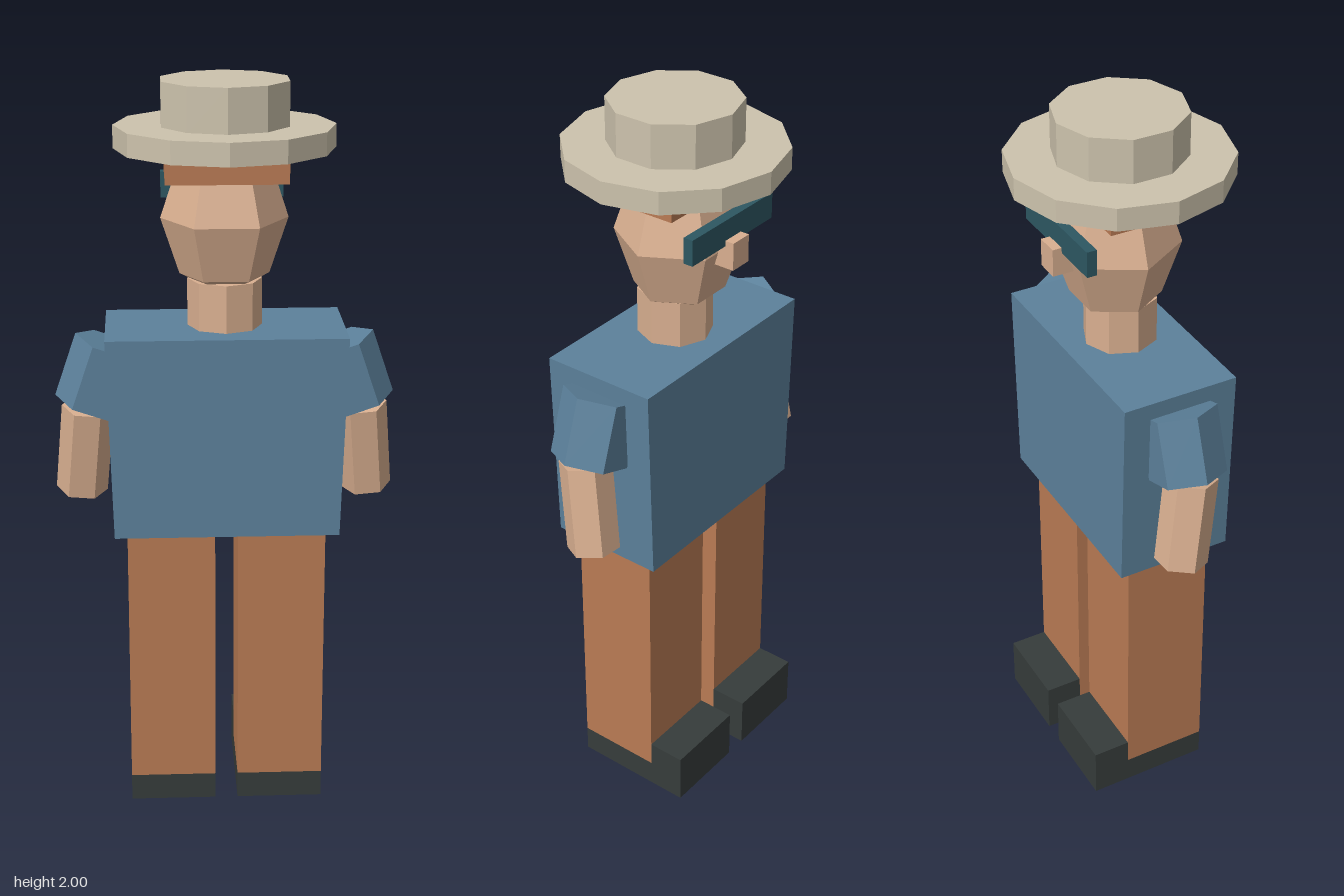
import * as THREE from 'three';

const mat = (name, color) => {
  const m = new THREE.MeshStandardMaterial({ color });
  m.name = name;
  return m;
};

export function createModel() {
  const straw = mat('straw', 0xcdc3ad);
  const skin = mat('skin', 0xd9af90);
  const shirt = mat('shirt blue', 0x5c819b);
  const rust = mat('rust', 0xb97b54);
  const shoeBlack = mat('shoe black', 0x363c3b);
  const teal = mat('dark teal', 0x2d5762);

  const model = new THREE.Group();
  model.name = 'figure';

  // Faceted mesh: every face keeps its own normal
  const add = (name, geometry, material, x = 0, y = 0, z = 0) => {
    const geo = geometry.index ? geometry.toNonIndexed() : geometry;
    geo.computeVertexNormals();
    const mesh = new THREE.Mesh(geo, material);
    mesh.name = name;
    mesh.position.set(x, y, z);
    model.add(mesh);
    return mesh;
  };

  // Box given by its limits
  const box = (name, material, [x0, x1], [y0, y1], [z0, z1]) =>
    add(name, new THREE.BoxGeometry(x1 - x0, y1 - y0, z1 - z0), material,
      (x0 + x1) / 2, (y0 + y1) / 2, (z0 + z1) / 2);

  // Hexagonal limb between two points, one corner pointing outwards
  const limb = (name, material, top, bottom, r) => {
    const a = new THREE.Vector3(...top);
    const b = new THREE.Vector3(...bottom);
    const axis = a.clone().sub(b);
    const geo = new THREE.CylinderGeometry(r, r, axis.length(), 6, 1, false, Math.PI / 2);
    const mid = a.clone().add(b).multiplyScalar(0.5);
    const mesh = add(name, geo, material, mid.x, mid.y, mid.z);
    mesh.quaternion.setFromUnitVectors(new THREE.Vector3(0, 1, 0), axis.normalize());
  };

  // Hat
  add('hatCrown', new THREE.CylinderGeometry(0.172, 0.172, 0.12, 10), straw, 0, 1.94, 0);
  add('hatBrim', new THREE.CylinderGeometry(0.288, 0.288, 0.06, 12), straw, 0, 1.855, 0);

  // Head, hair and face
  const headGeo = new THREE.SphereGeometry(0.168, 6, 4);
  headGeo.scale(1, 1.25, 1);
  add('head', headGeo, skin, 0, 1.64, -0.013);
  box('hair', rust, [-0.157, 0.157], [1.757, 1.83], [-0.11, 0.157]);
  box('glasses', teal, [-0.165, 0.165], [1.665, 1.735], [-0.18, -0.153]);
  box('nose', skin, [-0.032, 0.032], [1.605, 1.68], [-0.205, -0.13]);
  add('neck', new THREE.CylinderGeometry(0.099, 0.099, 0.16, 8), skin, 0, 1.402, 0);

  // Torso, slightly narrower at the hips
  const torsoGeo = new THREE.BoxGeometry(0.634, 0.545, 0.32);
  const p = torsoGeo.attributes.position;
  for (let i = 0; i < p.count; i++) if (p.getY(i) < 0) p.setX(i, p.getX(i) * 0.948);
  add('torso', torsoGeo, shirt, 0, 1.0825, 0);

  // Shoe side profile: low under the leg, raised at the toe
  const profile = new THREE.Shape([
    [-0.12, 0], [0.225, 0], [0.225, 0.147], [0.12, 0.147], [0.12, 0.075], [-0.12, 0.075],
  ].map(([x, y]) => new THREE.Vector2(x, y)));

  for (const [side, s] of [['left', 1], ['right', -1]]) {
    // Arms
    limb(side + 'Sleeve', shirt, [s * 0.302, 1.303, 0], [s * 0.36, 1.133, 0], 0.1);
    limb(side + 'Forearm', skin, [s * 0.368, 1.132, 0.005], [s * 0.39, 0.887, -0.033], 0.07);

    // Legs and shoes
    const x = s * 0.149;
    box(side + 'Leg', rust, [x - 0.118, x + 0.118], [0.075, 0.815], [-0.12, 0.12]);
    const shoe = new THREE.ExtrudeGeometry(profile, { depth: 0.236, bevelEnabled: false });
    shoe.translate(0, 0, -0.118);
    shoe.rotateY(Math.PI / 2);
    add(side + 'Shoe', shoe, shoeBlack, x, 0, 0);
  }

  return model;
}
